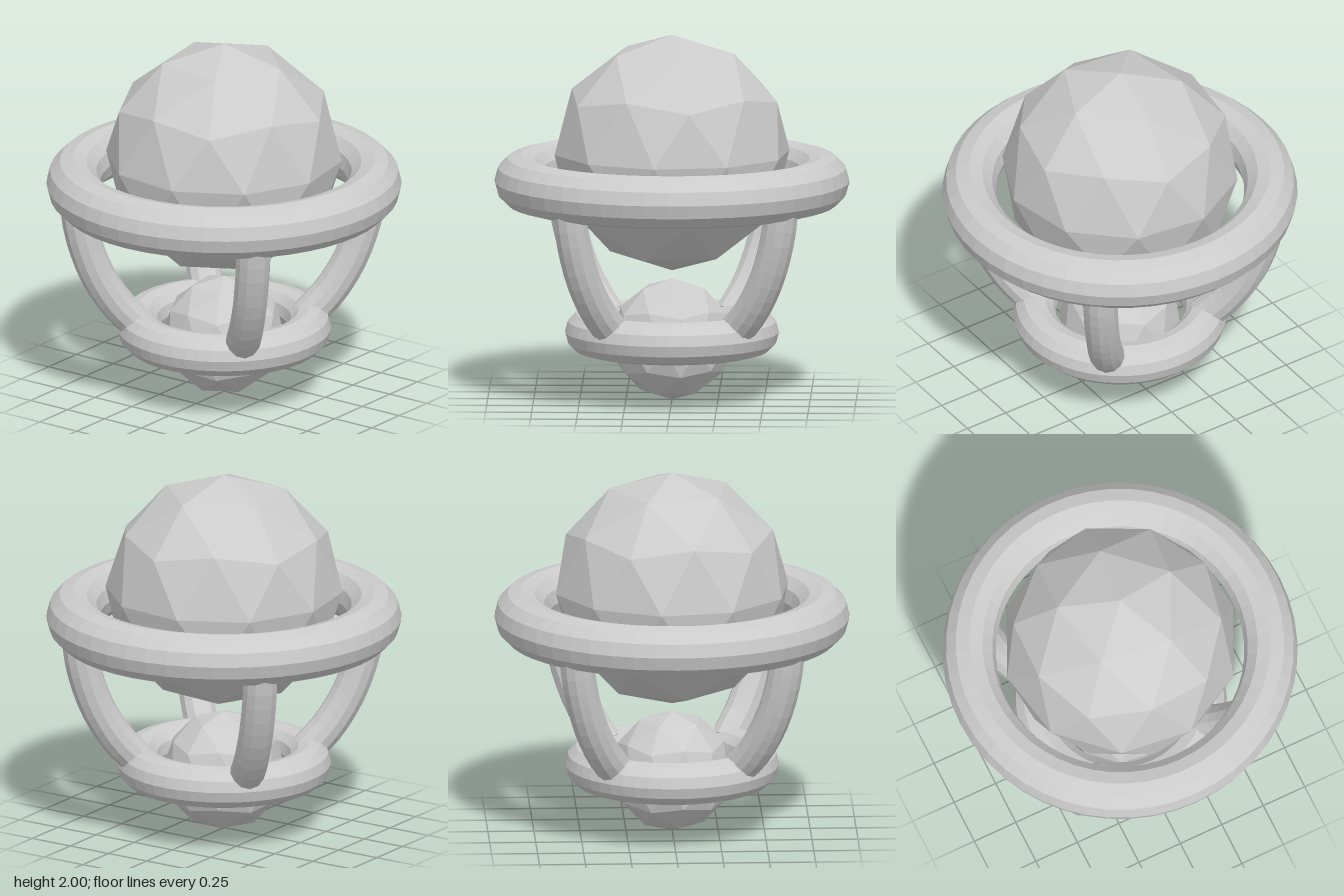
import * as THREE from 'three';

const material = new THREE.MeshStandardMaterial({ color: 0xcccccc, flatShading: true });

function addMesh(parent, geometry, name, y = 0) {
  const mesh = new THREE.Mesh(geometry, material);
  mesh.name = name;
  mesh.position.y = y;
  parent.add(mesh);
  return mesh;
}

// Faceted ball of 80 triangles, turned so that a corner points straight up
function facetedBall(radius) {
  const golden = (1 + Math.sqrt(5)) / 2;
  return new THREE.IcosahedronGeometry(radius, 1)
    .rotateZ(Math.atan(1 / golden))
    .rotateY(THREE.MathUtils.degToRad(-25.3));
}

// Flat-lying ring
function ring(radius, tube) {
  return new THREE.TorusGeometry(radius, tube, 12, 48).rotateX(Math.PI / 2);
}

export function createModel() {
  const model = new THREE.Group();
  model.name = 'ringedBalls';

  // Large ball in its wide ring, small ball in its narrow ring
  addMesh(model, facetedBall(0.646), 'upperBall', 1.354);
  addMesh(model, ring(0.819, 0.145), 'upperRing', 1.2);
  addMesh(model, facetedBall(0.332), 'lowerBall', 0.332);
  addMesh(model, ring(0.464, 0.117), 'lowerRing', 0.372);

  // Curved arms joining the two rings
  const path = new THREE.CatmullRomCurve3([
    [0.815, 1.18], [0.805, 1.06], [0.775, 0.92], [0.705, 0.73], [0.595, 0.55], [0.46, 0.405],
  ].map(([r, y]) => new THREE.Vector3(r, y, 0)));
  const armRadius = 0.095;
  const armGeometry = new THREE.TubeGeometry(path, 11, armRadius, 12);
  const capGeometry = new THREE.CircleGeometry(armRadius, 12);

  for (let i = 0; i < 4; i++) {
    const arm = new THREE.Group();
    arm.name = `arm${i + 1}`;
    arm.rotation.y = -THREE.MathUtils.degToRad(41.8) - i * Math.PI / 2;
    addMesh(arm, armGeometry, 'armTube');
    // Closed ends
    for (const t of [0, 1]) {
      const cap = addMesh(arm, capGeometry, t ? 'armLowerEnd' : 'armUpperEnd');
      const end = path.getPointAt(t);
      const outward = path.getTangentAt(t).multiplyScalar(t ? 1 : -1);
      cap.position.copy(end);
      cap.lookAt(end.clone().add(outward).applyMatrix4(new THREE.Matrix4().makeRotationY(arm.rotation.y)));
    }
    model.add(arm);
  }
  return model;
}
